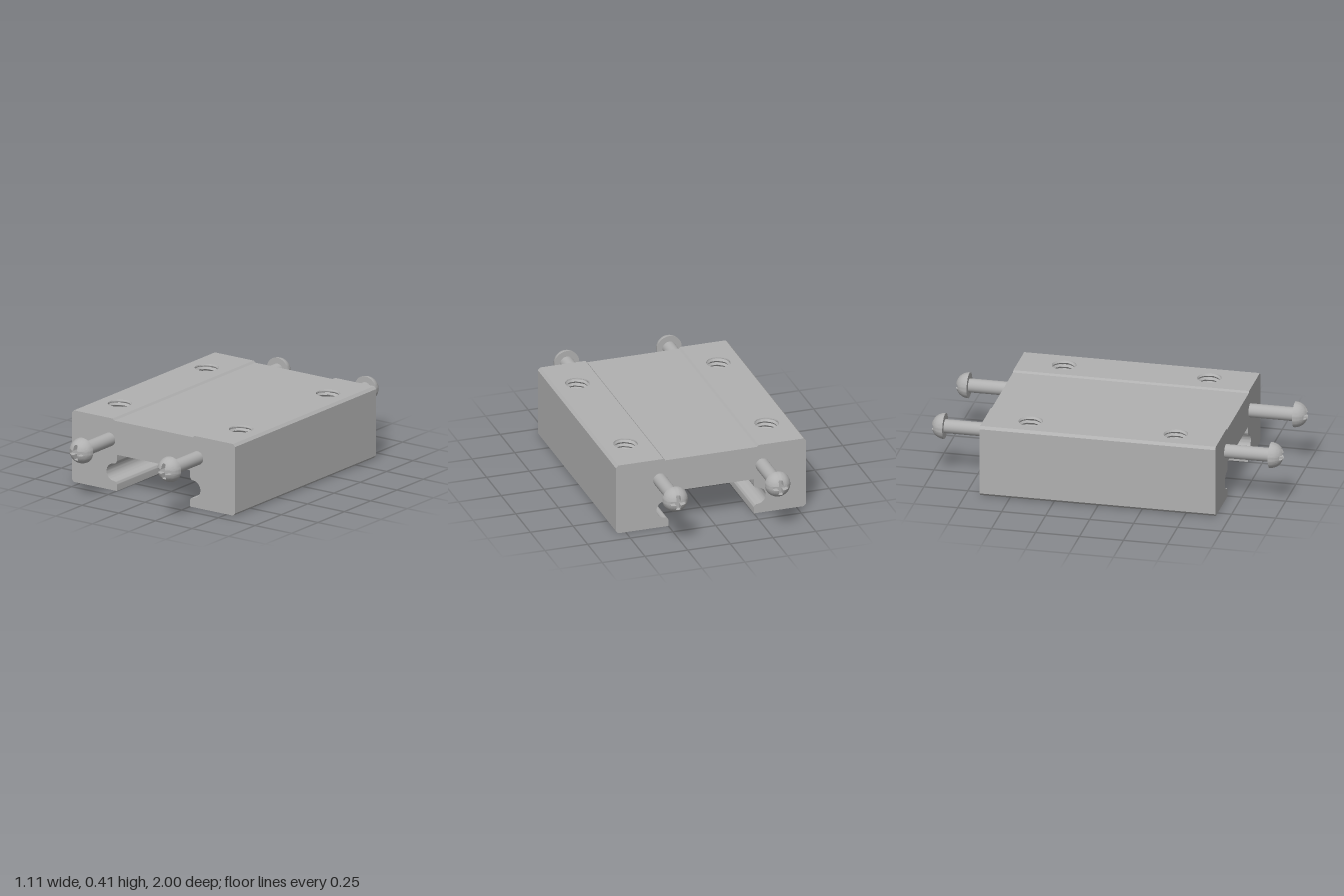
import * as THREE from 'three';
import { toCreasedNormals } from 'three/addons/utils/BufferGeometryUtils.js';
import { ParametricGeometry } from 'three/addons/geometries/ParametricGeometry.js';

const HALF = 0.67;                      // half length of the carriage
const TOP = 0.415;                      // height of the raised lands
const LAND = [0.278, 0.543];            // inner and outer x of a land
const HOLE = { x: 0.413, z: 0.413, r: 0.068, depth: 0.25, pitch: 0.024 };
const SCREW = { x: 0.3, y: 0.291, r: 0.0725, base: 0.925, height: 0.075 };

// Geometry from a list of triangle corners, with sharp edges kept
function fromTriangles(points) {
  const geometry = new THREE.BufferGeometry().setFromPoints(points);
  return toCreasedNormals(geometry, 0.6);
}

function arc(cx, cy, r, from, to, steps) {
  const out = [];
  for (let i = 0; i <= steps; i++) {
    const a = THREE.MathUtils.degToRad(from + (to - from) * i / steps);
    out.push(new THREE.Vector2(cx + r * Math.cos(a), cy + r * Math.sin(a)));
  }
  return out;
}

// Closed cross-section, clockwise from the top recess
function bodyProfile() {
  const v = (x, y) => new THREE.Vector2(x, y);
  const right = [
    v(0.268, 0.405), v(LAND[0], TOP), v(LAND[1], TOP), v(0.557, 0.4),
    v(0.557, 0.015), v(0.543, 0), v(0.25, 0),
    ...arc(0.27, 0.035, 0.02, 180, 90, 6),
    ...arc(0.27, 0.105, 0.05, -90, 90, 24).slice(1),
    ...arc(0.27, 0.175, 0.02, 270, 180, 6).slice(1),
    v(0.25, 0.21),
  ];
  return [...right, ...right.map(p => v(-p.x, p.y)).reverse()];
}

// Long faces of the body, leaving the two lands open
function wallGeometry(profile) {
  const tri = [];
  profile.forEach((a, i) => {
    const b = profile[(i + 1) % profile.length];
    if (a.y === TOP && b.y === TOP) return;
    const at = (p, z) => new THREE.Vector3(p.x, p.y, z);
    tri.push(at(a, HALF), at(b, HALF), at(b, -HALF), at(a, HALF), at(b, -HALF), at(a, -HALF));
  });
  return fromTriangles(tri);
}

// Flat land pierced by two round openings
function landGeometry(side) {
  const [x0, x1] = side > 0 ? LAND : [-LAND[1], -LAND[0]];
  const shape = new THREE.Shape([[x0, -HALF], [x1, -HALF], [x1, HALF], [x0, HALF]]
    .map(p => new THREE.Vector2(...p)));
  for (const z of [-HOLE.z, HOLE.z]) {
    shape.holes.push(new THREE.Path().absarc(side * HOLE.x, z, HOLE.r, 0, Math.PI * 2, true));
  }
  return new THREE.ShapeGeometry(shape, 24).rotateX(-Math.PI / 2).translate(0, TOP, 0);
}

// Helical thread on the inside of a hole, fading out at the mouth
function threadGeometry() {
  const geometry = new ParametricGeometry((u, v, target) => {
    const angle = u * Math.PI * 2;
    const depth = v * HOLE.depth;
    const phase = ((depth / HOLE.pitch + u) % 1 + 1) % 1;
    const ridge = 1 - Math.abs(2 * phase - 1);
    const r = HOLE.r - 0.011 * ridge * Math.min(1, depth / 0.012);
    target.set(r * Math.cos(angle), -depth, -r * Math.sin(angle));
  }, 48, 84);
  return toCreasedNormals(geometry, 0.6);
}

// Outline of the cross recess, counter-clockwise
function crossOutline() {
  const eighth = [[0.045, 0], [0.045, 0.005], [0.044, 0.009], [0.04, 0.013],
    [0.03, 0.013], [0.022, 0.013], [0.017, 0.013]];
  const quarter = [...eighth, [0.013, 0.013],
    ...eighth.slice(1).reverse().map(([x, y]) => [y, x])];
  const out = [];
  for (let k = 0; k < 4; k++) {
    for (const [x, y] of quarter) {
      out.push(new THREE.Vector2(x, y).rotateAround(new THREE.Vector2(), k * Math.PI / 2));
    }
  }
  return out;
}

// Domed head lofted from the recess floor, up its walls and over to the rim
function headGeometry() {
  const outline = crossOutline();
  const { r: R, base, height } = SCREW;
  const rings = [
    outline.map(() => new THREE.Vector3(0, 0, 0.96)),
    outline.map(p => new THREE.Vector3(p.x, p.y, 0.96)),
  ];
  const steps = 10;
  for (let i = 0; i <= steps; i++) {
    const s = Math.sin(i / steps * Math.PI / 2);
    rings.push(outline.map(p => {
      const inner = p.length();
      const r = inner + (R - inner) * s;
      const z = base + height * Math.sqrt(Math.max(0, 1 - (r / R) ** 2));
      return new THREE.Vector3(p.x / inner * r, p.y / inner * r, z);
    }));
  }
  rings.push(outline.map(() => new THREE.Vector3(0, 0, base)));
  const tri = [];
  const n = outline.length;
  for (let i = 0; i < rings.length - 1; i++) {
    for (let j = 0; j < n; j++) {
      const k = (j + 1) % n;
      const [a, b, c, d] = [rings[i][j], rings[i + 1][j], rings[i + 1][k], rings[i][k]];
      if (i < rings.length - 2) tri.push(a, b, c);
      if (i > 0) tri.push(a, i < rings.length - 2 ? c : b, d);
    }
  }
  return fromTriangles(tri);
}

export function createModel() {
  const steel = new THREE.MeshStandardMaterial({ color: 0xb0b0b0 });
  steel.name = 'steel grey';
  const model = new THREE.Group();
  model.name = 'linearCarriage';
  const add = (parent, name, geometry) => {
    const mesh = new THREE.Mesh(geometry, steel);
    mesh.name = name;
    parent.add(mesh);
    return mesh;
  };

  // Carriage body
  const body = new THREE.Group();
  body.name = 'body';
  model.add(body);
  const profile = bodyProfile();
  add(body, 'bodyWalls', wallGeometry(profile));
  const endCap = new THREE.ShapeGeometry(new THREE.Shape(profile));
  add(body, 'frontEnd', endCap).position.z = HALF;
  const back = add(body, 'backEnd', endCap);
  back.position.z = -HALF;
  back.rotation.y = Math.PI;

  // Lands with threaded mounting holes
  const thread = threadGeometry();
  const floor = new THREE.CircleGeometry(HOLE.r, 48).rotateX(-Math.PI / 2);
  for (const side of [-1, 1]) {
    add(body, side > 0 ? 'leftLand' : 'rightLand', landGeometry(side));
    for (const end of [-1, 1]) {
      add(body, 'holeThread', thread).position.set(side * HOLE.x, TOP, end * HOLE.z);
      add(body, 'holeFloor', floor).position.set(side * HOLE.x, TOP - HOLE.depth, end * HOLE.z);
    }
  }

  // Two screws at each end
  const head = headGeometry();
  const shaftLength = SCREW.base - HALF + 0.02;
  const shaft = new THREE.CylinderGeometry(0.039, 0.039, shaftLength, 32)
    .rotateX(Math.PI / 2).translate(0, 0, SCREW.base - shaftLength / 2 + 0.002);
  for (const end of [0, Math.PI]) {
    for (const side of [-1, 1]) {
      const screw = new THREE.Group();
      screw.name = end ? 'backScrew' : 'frontScrew';
      screw.position.set(side * SCREW.x, SCREW.y, 0);
      screw.rotation.y = end;
      add(screw, 'screwHead', head);
      add(screw, 'screwShaft', shaft);
      model.add(screw);
    }
  }
  return model;
}
